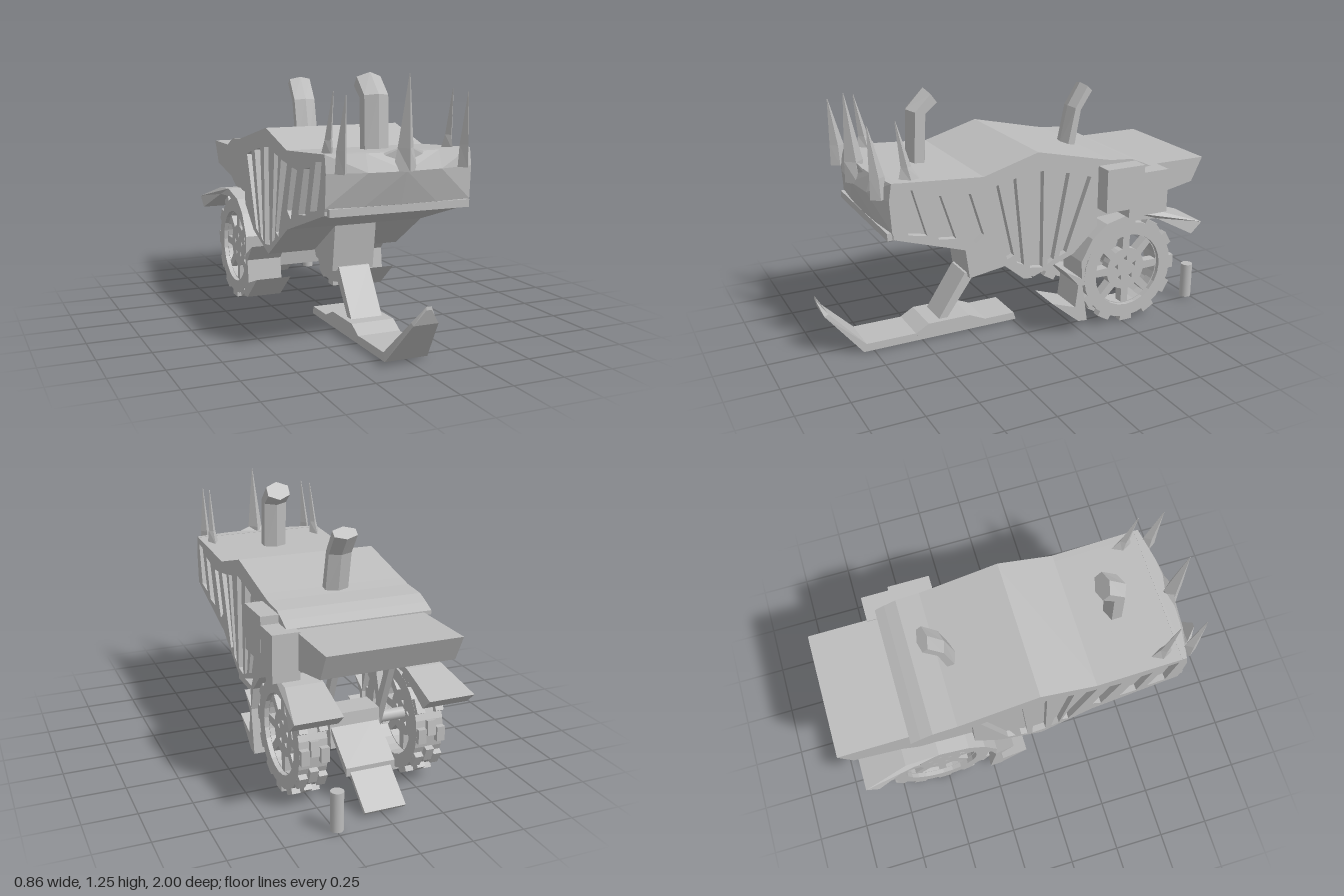
import * as THREE from 'three';
import { ConvexGeometry } from 'three/addons/geometries/ConvexGeometry.js';

const grey = new THREE.MeshStandardMaterial({ color: 0xbcbcbc });
grey.name = 'plain grey';

export function createModel() {
  const model = new THREE.Group();
  const body = new THREE.Group();
  body.name = 'vehicle';
  body.position.x = -0.007;
  model.add(body);

  const add = (name, geo, parent = body) => {
    const mesh = new THREE.Mesh(geo, grey);
    mesh.name = name;
    parent.add(mesh);
    return mesh;
  };
  const v2 = (pts) => pts.map(([a, b]) => new THREE.Vector2(a, b));
  // Side profile of [z, y] points, extruded across x and centred on cx
  const prism = (pts, width, cx = 0, holes = []) => {
    const shape = new THREE.Shape(v2(pts));
    holes.forEach((h) => shape.holes.push(new THREE.Path(v2(h))));
    const g = new THREE.ExtrudeGeometry(shape, { depth: width, bevelEnabled: false });
    return g.rotateY(-Math.PI / 2).translate(cx + width / 2, 0, 0);
  };
  const hull = (pts) => new ConvexGeometry(pts.map((p) => new THREE.Vector3(...p)));
  // Flat-faced skin over rings of [x, y, z] points, capped at both ends
  const loft = (rings) => {
    const n = rings[0].length, tris = [];
    for (let r = 0; r < rings.length - 1; r++) {
      for (let i = 0; i < n; i++) {
        const j = (i + 1) % n, a = rings[r], b = rings[r + 1];
        tris.push([a[i], a[j], b[j]], [a[i], b[j], b[i]]);
      }
    }
    const last = rings[rings.length - 1];
    for (let i = 1; i < n - 1; i++) {
      tris.push([rings[0][0], rings[0][i + 1], rings[0][i]], [last[0], last[i], last[i + 1]]);
    }
    const volume = tris.reduce((s, [a, b, c]) => s + new THREE.Vector3(...a)
      .dot(new THREE.Vector3(...b).cross(new THREE.Vector3(...c))), 0);
    if (volume < 0) tris.forEach((t) => t.reverse());
    const g = new THREE.BufferGeometry();
    g.setAttribute('position', new THREE.Float32BufferAttribute(tris.flat(2), 3));
    g.computeVertexNormals();
    return g;
  };

  // Hull core, slotted side panels and roof skin
  const outline = [[0.72, 0.92], [0.28, 0.89], [0, 0.97], [-0.33, 0.895], [-0.33, 0.55],
    [-0.2, 0.43], [0.02, 0.35], [0.28, 0.52], [0.72, 0.66]];
  const slots = [
    [[0.69, 0.885], [0.625, 0.877], [0.56, 0.652], [0.65, 0.67]],
    [[0.56, 0.845], [0.49, 0.83], [0.42, 0.615], [0.505, 0.625]],
    [[0.41, 0.815], [0.345, 0.82], [0.28, 0.61], [0.325, 0.575]],
    [[0.285, 0.83], [0.205, 0.84], [0.125, 0.48], [0.16, 0.465]],
    [[0.17, 0.85], [0.115, 0.86], [0.07, 0.42], [0.11, 0.44]],
    [[0.035, 0.88], [-0.03, 0.875], [-0.03, 0.39], [0.04, 0.4]],
    [[-0.085, 0.865], [-0.17, 0.845], [-0.09, 0.42], [-0.055, 0.4]],
    [[-0.22, 0.835], [-0.29, 0.81], [-0.16, 0.445], [-0.12, 0.43]],
  ];
  add('hullCore', prism(outline, 0.64));
  for (const s of [-1, 1]) add('slottedSidePanel', prism(outline, 0.032, s * 0.336, slots));
  add('rearRoof', prism([[-0.33, 0.895], [-0.4, 0.88], [-0.52, 0.87], [-0.58, 0.845],
    [-0.63, 0.82], [-0.63, 0.8], [-0.33, 0.8]], 0.704));

  // Bowed nose plate with a lip along its foot
  const nose = (rows) => hull(rows.flatMap(([y, z, bow]) => [-1, -0.5, 0, 0.5, 1].map(
    (t) => [t * 0.352, y, z + bow * (1 - t * t)])).concat(
    [-0.352, 0.352].flatMap((x) => [[x, rows[0][0], 0.7], [x, rows[rows.length - 1][0], 0.71]])));
  add('nosePlate', nose([[0.92, 0.722, 0.04], [0.84, 0.735, 0.06], [0.69, 0.725, 0.02], [0.655, 0.71, 0.01]]));
  add('noseLip', new THREE.BoxGeometry(0.68, 0.035, 0.03).translate(0, 0.672, 0.73));

  // Rear deck and the stepped box on one side
  add('rearDeck', prism([[-0.3, 0.815], [-0.975, 0.812], [-0.915, 0.69], [-0.68, 0.645],
    [-0.6, 0.6], [-0.3, 0.58]], 0.63));
  add('upperSideBox', new THREE.BoxGeometry(0.13, 0.215, 0.21).translate(0.372, 0.752, -0.435));
  add('lowerSideBox', new THREE.BoxGeometry(0.13, 0.22, 0.22).translate(0.371, 0.71, -0.57));

  // Spikes built from tapering diamonds of [x, y, z, half x, half z]
  const spike = (rows) => add('spike', loft(rows.map(([x, y, z, a, b]) => [
    [x + a, y, z], [x, y, z + b], [x - a, y, z], [x, y, z - b]])));
  spike([[0, 0.84, 0.775, 0.06, 0.045], [0, 0.94, 0.775, 0.038, 0.045], [0, 1.255, 0.807, 0.002, 0.002]]);
  for (const s of [-1, 1]) {
    spike([[s * 0.295, 0.84, 0.76, 0.028, 0.04], [s * 0.295, 0.94, 0.765, 0.023, 0.035],
      [s * 0.29, 1.17, 0.8, 0.002, 0.002]]);
    spike([[s * 0.295, 0.9, 0.615, 0.03, 0.055], [s * 0.295, 0.97, 0.63, 0.018, 0.025],
      [s * 0.29, 1.18, 0.672, 0.002, 0.002]]);
    // Low gusset joining the middle spike to the nose
    add('spikeGusset', hull([[0, 0.85, 0.78], [0, 0.95, 0.78], [0, 0.92, 0.74], [s * 0.15, 0.9, 0.745],
      [s * 0.15, 0.88, 0.75]]));
  }

  // Six-sided bent pipes; rows are [y, z, tilt, half depth]
  const pipe = (name, halfWidth, rows) => add(name, loft(rows.map(([y, z, tilt, d]) =>
    [[-1, 0.5], [0, 1], [1, 0.5], [1, -0.5], [0, -1], [-1, -0.5]].map(([u, w]) => [
      u * halfWidth, y + w * d * Math.sin(tilt), z + w * d * Math.cos(tilt)]))));
  pipe('frontPipe', 0.06, [[0.88, 0.475, 0, 0.05], [1.14, 0.465, 0.25, 0.052], [1.205, 0.395, 0.95, 0.052]]);
  pipe('rearPipe', 0.057, [[0.87, -0.345, 0.15, 0.038], [1.07, -0.385, 0.35, 0.032], [1.17, -0.45, 0.75, 0.035]]);

  // Front leg and ski
  add('legHousing', prism([[0.28, 0.54], [0.245, 0.29], [0.04, 0.32], [0, 0.4]], 0.215));
  add('frontLeg', prism([[0.41, 0.08], [0.365, 0.08], [0.2, 0.31], [0.26, 0.31]], 0.16));
  add('skiMount', prism([[0.54, 0.05], [0.47, 0.09], [0.25, 0.09], [0.16, 0.05], [0.19, 0.02], [0.52, 0.02]], 0.216));
  const skiRow = (w, zTop, yTop, zLow, yLow) => [[-w, yTop, zTop], [w, yTop, zTop], [w, yLow, zLow], [-w, yLow, zLow]];
  add('ski', loft([skiRow(0.105, -0.01, 0.018, -0.01, 0.012), skiRow(0.105, 0, 0.05, 0, 0.012),
    skiRow(0.105, 0.79, 0.052, 0.805, 0.012), skiRow(0.06, 0.955, 0.225, 0.975, 0.215),
    skiRow(0.012, 0.998, 0.3, 1.0, 0.285)]));

  // Rear wheels: tyre, pierced disc and staggered tread blocks
  const arc = (r, n, from = 0, to = Math.PI * 2) => Array.from({ length: n }, (_, i) => {
    const a = from + (to - from) * i / (to - from > 6 ? n : n - 1);
    return [Math.cos(a) * r, Math.sin(a) * r];
  });
  const windows = Array.from({ length: 8 }, (_, i) => {
    const a = (i + 0.5) * Math.PI / 4;
    return [...arc(0.185, 4, a - 0.29, a + 0.29), ...arc(0.11, 3, a - 0.2, a + 0.2).reverse()];
  });
  const boltHoles = Array.from({ length: 5 }, (_, i) => {
    const a = i * Math.PI * 0.4 + 0.3;
    return arc(0.016, 3).map(([x, y]) => [x + 0.055 * Math.cos(a), y + 0.055 * Math.sin(a)]);
  });
  for (const s of [-1, 1]) {
    const wheel = new THREE.Group();
    wheel.name = 'rearWheel';
    wheel.position.set(s * 0.285, 0.283, -0.523);
    body.add(wheel);
    add('tyre', prism(arc(0.255, 24), 0.135, 0, [arc(0.19, 24)]), wheel);
    add('wheelDisc', prism(arc(0.195, 24), 0.05, s * 0.02, [...windows, ...boltHoles]), wheel);
    for (let i = 0; i < 12; i++) {
      for (const row of [-1, 0, 1]) {
        const block = new THREE.BoxGeometry(0.04, 0.03, 0.07).translate(row * 0.047, 0.262, 0);
        add('treadBlock', block.rotateX((i + (row ? 0 : 0.25)) * Math.PI / 6), wheel);
      }
    }

    // Fender with front barbs and an outward flared tail
    const fender = prism([[-0.27, 0.07], [-0.22, 0.075], [-0.07, 0.2], [-0.2, 0.155], [-0.215, 0.27],
      [-0.14, 0.355], [-0.235, 0.3], [-0.23, 0.39], [-0.29, 0.5], [-0.37, 0.565], [-0.52, 0.6],
      [-0.69, 0.58], [-0.91, 0.505], [-0.85, 0.45], [-0.66, 0.55], [-0.5, 0.56], [-0.36, 0.5],
      [-0.27, 0.41], [-0.235, 0.29]], 0.18, s * 0.293);
    const p = fender.attributes.position;
    for (let i = 0; i < p.count; i++) {
      if (p.getZ(i) < -0.8 && Math.abs(p.getX(i)) > 0.3) p.setX(i, s * 0.427);
    }
    fender.computeVertexNormals();
    add('fender', fender);

    // Suspension links from hull to axle
    add('suspensionLink', prism([[-0.38, 0.62], [-0.42, 0.62], [-0.545, 0.25], [-0.5, 0.25]], 0.035, s * 0.182));
    add('suspensionLink', prism([[-0.66, 0.66], [-0.7, 0.66], [-0.545, 0.25], [-0.5, 0.25]], 0.03, s * 0.14));
  }

  // Axle, gear housing and trailing flap
  add('axle', new THREE.CylinderGeometry(0.03, 0.03, 0.56, 8).rotateZ(Math.PI / 2).translate(0, 0.283, -0.523));
  add('gearHousing', prism([[-0.45, 0.36], [-0.58, 0.36], [-0.6, 0.2], [-0.48, 0.16]], 0.25));
  add('upperFlap', prism([[-0.56, 0.32], [-0.57, 0.285], [-0.76, 0.135], [-0.76, 0.175]], 0.24));
  add('lowerFlap', prism([[-0.72, 0.185], [-0.735, 0.15], [-0.905, 0.018], [-0.917, 0.032]], 0.2));

  // Small loose post behind the vehicle
  add('post', new THREE.CylinderGeometry(0.03, 0.03, 0.185, 20).translate(0.25, 0.108, -0.968), model);
  return model;
}
